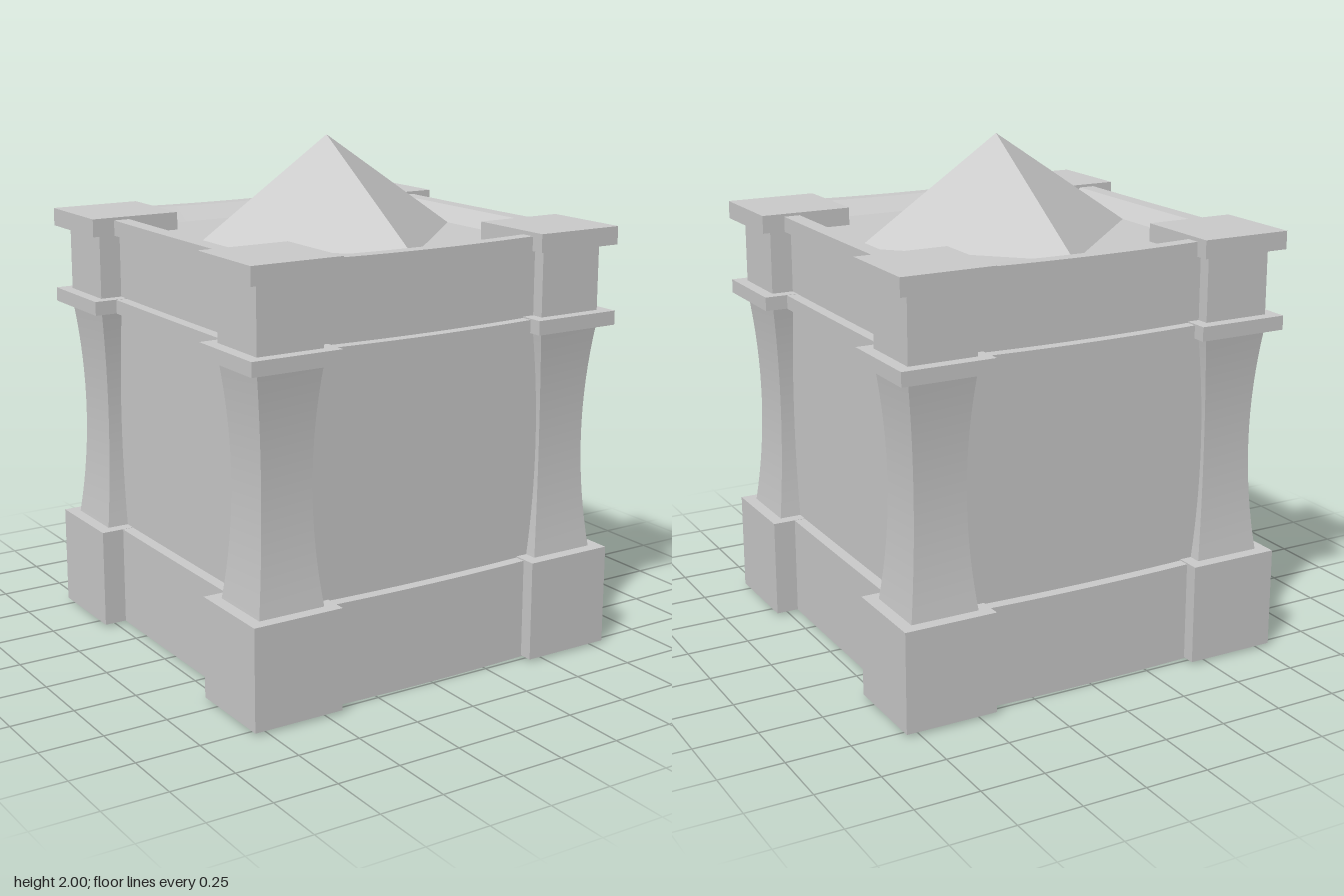
import * as THREE from 'three';

const material = new THREE.MeshStandardMaterial({ color: 0xcccccc });

function addMesh(parent, name, geometry, x = 0, y = 0, z = 0) {
  const mesh = new THREE.Mesh(geometry, material);
  mesh.name = name;
  mesh.position.set(x, y, z);
  parent.add(mesh);
  return mesh;
}

// Square block between two heights
function block(parent, name, width, y0, y1) {
  addMesh(parent, name, new THREE.BoxGeometry(width, y1 - y0, width), 0, (y0 + y1) / 2, 0);
}

// Square shaft pinched towards its middle
function shaftGeometry(endWidth, midWidth, height) {
  const geo = new THREE.BoxGeometry(1, height, 1, 1, 16, 1);
  const pos = geo.attributes.position;
  for (let i = 0; i < pos.count; i++) {
    const t = pos.getY(i) / (height / 2);
    const w = midWidth + (endWidth - midWidth) * t * t;
    pos.setX(i, pos.getX(i) * w);
    pos.setZ(i, pos.getZ(i) * w);
  }
  geo.computeVertexNormals();
  return geo;
}

function createPillar() {
  const pillar = new THREE.Group();
  block(pillar, 'pillarBase', 0.367, 0.01, 0.405);
  addMesh(pillar, 'pillarShaft', shaftGeometry(0.27, 0.21, 0.895), 0, 0.8525, 0);
  block(pillar, 'pillarCollar', 0.367, 1.3, 1.355);
  block(pillar, 'pillarNeck', 0.27, 1.355, 1.61);
  block(pillar, 'pillarCap', 0.367, 1.61, 1.68);
  return pillar;
}

// Moulded wall section run along its length, sagging a little mid-span
function wallGeometry(outer, rimInner, length, sag) {
  const inner = 0.585, face = outer - 0.045;
  const profile = [
    [inner, 0.01], [outer, 0.01], [outer, 0.405], [face, 0.405],
    [face, 1.3], [outer, 1.3], [outer, 1.355], [face, 1.355],
    [face, 1.61], [outer, 1.61], [outer, 1.67], [rimInner, 1.67], [inner, 1.61],
  ].map(([d, y]) => new THREE.Vector2(d, y));
  const geo = new THREE.ExtrudeGeometry(new THREE.Shape(profile), {
    depth: length, steps: 12, bevelEnabled: false,
  });
  geo.translate(0, 0, -length / 2);
  const pos = geo.attributes.position;
  for (let i = 0; i < pos.count; i++) {
    const t = pos.getZ(i) / (length / 2);
    pos.setY(i, pos.getY(i) - sag * (1 - t * t));
  }
  geo.computeVertexNormals();
  return geo;
}

export function createModel() {
  const model = new THREE.Group();
  model.name = 'pavilion';

  // Corner pillars
  for (const sx of [-1, 1]) {
    for (const sz of [-1, 1]) {
      const pillar = createPillar();
      pillar.name = (sz > 0 ? 'front' : 'back') + (sx > 0 ? 'Left' : 'Right') + 'Pillar';
      pillar.position.set(sx * 0.617, 0, sz * 0.607);
      model.add(pillar);
    }
  }

  // Four walls around an open-bottomed hollow
  const sideWall = wallGeometry(0.71, 0.645, 1.2, 0.002);
  const mainWall = wallGeometry(0.737, 0.68, 1.2, 0.01);
  addMesh(model, 'leftWall', sideWall);
  addMesh(model, 'rightWall', sideWall).rotation.y = Math.PI;
  addMesh(model, 'frontWall', mainWall).rotation.y = -Math.PI / 2;
  addMesh(model, 'backWall', mainWall).rotation.y = Math.PI / 2;

  // Roof slab and diagonal pyramid
  addMesh(model, 'roofSlab', new THREE.BoxGeometry(1.18, 0.04, 1.18), 0, 1.59, 0);
  const pyramid = new THREE.ConeGeometry(0.587, 0.39, 4).toNonIndexed();
  pyramid.computeVertexNormals();
  addMesh(model, 'roofPyramid', pyramid, 0, 1.805, 0);

  return model;
}
